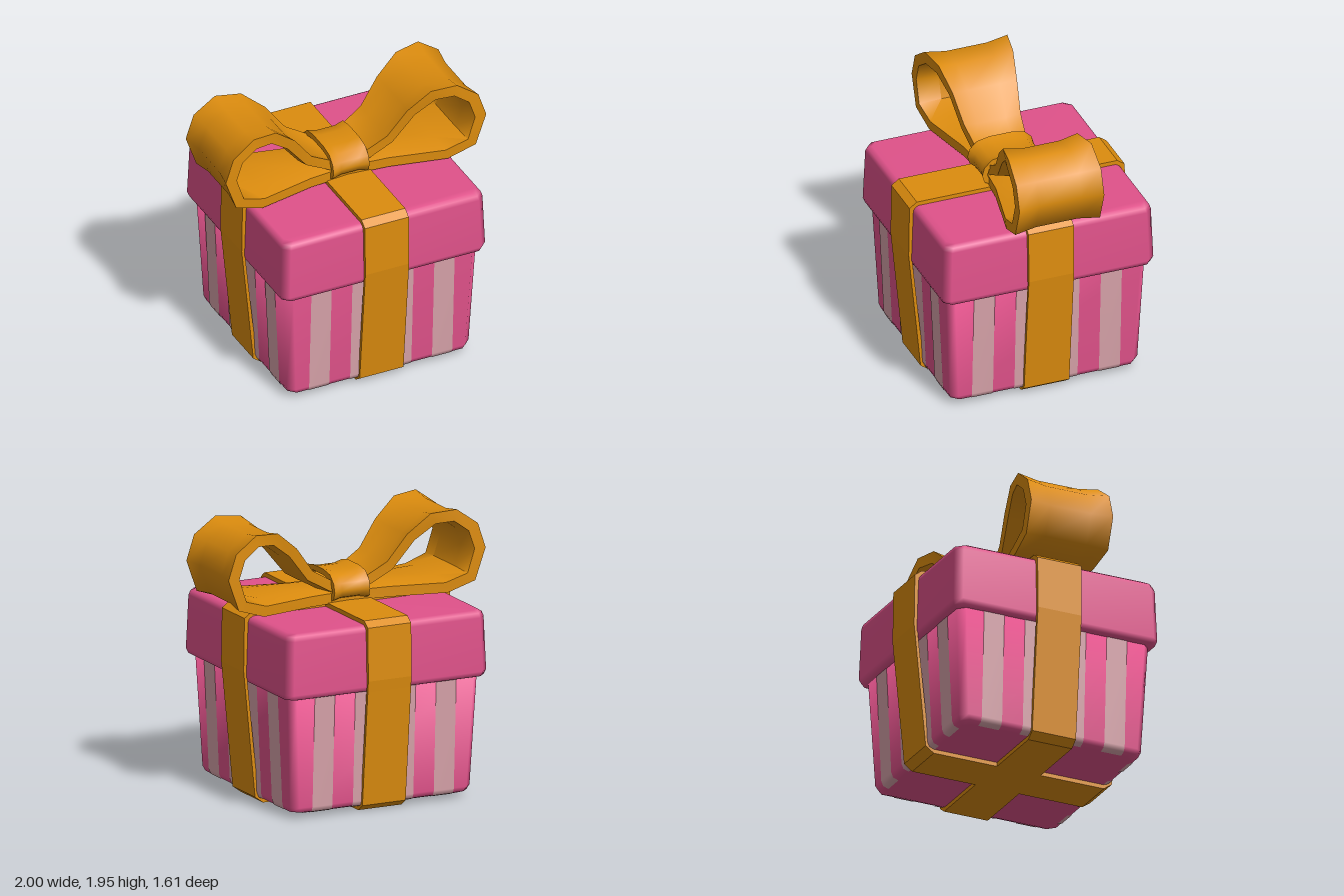
import * as THREE from 'three';
import { toCreasedNormals } from 'three/addons/utils/BufferGeometryUtils.js';

const material = (name, color) => {
  const m = new THREE.MeshStandardMaterial({ color });
  m.name = name;
  return m;
};

// Skin a list of equal-length rings of [x, y, z] points.
function loft(rings, { closed = false, caps = false } = {}) {
  const n = rings[0].length, count = rings.length;
  const pos = rings.flat(2), index = [];
  for (let i = 0; i < (closed ? count : count - 1); i++) {
    const a = i * n, b = ((i + 1) % count) * n;
    for (let j = 0; j < n; j++) {
      const k = (j + 1) % n;
      index.push(a + j, a + k, b + k, a + j, b + k, b + j);
    }
  }
  if (caps) {
    const last = (count - 1) * n;
    for (let j = 1; j < n - 1; j++) {
      index.push(0, j + 1, j, last, last + j, last + j + 1);
    }
  }
  const g = new THREE.BufferGeometry();
  g.setAttribute('position', new THREE.Float32BufferAttribute(pos, 3));
  g.setIndex(index);
  g.computeVertexNormals();
  return g;
}

// Square ring with cut corners.
function squareRing([h, y], cut = 0.05) {
  const k = h - cut;
  return [[h, -k], [h, k], [k, h], [-k, h], [-h, k], [-h, -k], [-k, -h], [k, -h]]
    .map(([x, u]) => [x, y, -u]);
}

// Thick ribbon following a clockwise path; its middle dips towards the inside.
function band(outer, inner, halfWidth, sag, closed, side = 1) {
  const columns = [-1, -0.5, 0.5, 1];
  const rings = outer.map(([ox, oy], i) => {
    const [ix, iy] = inner[i];
    const len = Math.hypot(ix - ox, iy - oy);
    const w = halfWidth(ox);
    const point = (x, y, t) => {
      const s = Math.abs(t) < 1 ? sag / len : 0;
      return [side * (x + (ix - ox) * s), y + (iy - oy) * s, t * w];
    };
    const ring = [
      ...columns.map(t => point(ox, oy, t)),
      ...columns.map(t => point(ix, iy, -t)),
    ];
    return side < 0 ? ring.reverse() : ring;
  });
  return toCreasedNormals(loft(rings, { closed, caps: !closed }), 0.95);
}

// Mirror a half outline (top to bottom on +x) into a full loop.
const mirrorLoop = half => [...half, ...half.map(([x, y]) => [-x, y]).reverse()];

export function createModel() {
  const pink = material('pink card', 0xe0528a);
  const pale = material('pale stripe', 0xd8a3aa);
  const gold = material('gold ribbon', 0xdc8c0e);
  const model = new THREE.Group();
  model.name = 'giftBox';
  const add = (name, geometry, mat, parent = model) => {
    const mesh = new THREE.Mesh(geometry, mat);
    mesh.name = name;
    parent.add(mesh);
    return mesh;
  };

  // Tapered box
  const side = [[0.645, 0.03], [0.685, 0.045], [0.7, 0.08], [0.737, 0.88]];
  add('box', loft(side.map(p => squareRing(p)), { caps: true }), pink);

  // Lid with softened edges
  const lid = [[0.74, 0.865], [0.772, 0.875], [0.785, 0.91], [0.772, 1.29], [0.762, 1.322], [0.735, 1.34]];
  add('lid', loft(lid.map(p => squareRing(p)), { caps: true }), pink);

  // Painted stripes on all four sides
  const stripes = new THREE.Group();
  stripes.name = 'stripes';
  model.add(stripes);
  for (let face = 0; face < 4; face++) {
    for (const x of [-0.472, -0.157, 0.157, 0.472]) {
      const g = new THREE.PlaneGeometry(0.156, 1, 1, side.length - 1);
      const p = g.attributes.position;
      for (let i = 0; i < p.count; i++) {
        const [h, y] = side[side.length - 1 - Math.floor(i / 2)];
        p.setXYZ(i, p.getX(i) + x, y - 0.002, h + 0.004);
      }
      g.computeVertexNormals();
      add('stripe', g, pale, stripes).rotation.y = face * Math.PI / 2;
    }
  }

  // Two ribbons wrapped round the box
  const wrapOuter = [[0.745, 1.37], [0.8, 1.33], [0.806, 0.95], [0.798, 0.87], [0.717, 0.045], [0.655, 0]];
  const wrapInner = [[0.732, 1.338], [0.77, 1.31], [0.782, 0.95], [0.776, 0.87], [0.692, 0.055], [0.643, 0.03]];
  const toPoints = half => mirrorLoop(half).map(([x, y]) => new THREE.Vector2(x, y));
  const wrapShape = new THREE.Shape(toPoints(wrapOuter));
  wrapShape.holes.push(new THREE.Path(toPoints(wrapInner)));
  const wrap = new THREE.ExtrudeGeometry(wrapShape, { depth: 0.336, bevelEnabled: false });
  wrap.translate(0, 0, -0.168);
  add('ribbonAcross', wrap, gold);
  add('ribbonFrontToBack', wrap, gold).rotation.y = Math.PI / 2;

  // Bow loops
  const bowOuter = [[0, 1.49], [0.135, 1.525], [0.29, 1.615], [0.43, 1.8], [0.595, 1.935], [0.78, 1.95],
    [0.94, 1.835], [1, 1.655], [0.92, 1.43], [0.715, 1.362], [0.3, 1.362], [0, 1.362]];
  const bowInner = [[0, 1.41], [0.135, 1.445], [0.33, 1.555], [0.487, 1.75], [0.63, 1.857], [0.76, 1.868],
    [0.87, 1.788], [0.915, 1.655], [0.86, 1.487], [0.695, 1.435], [0.3, 1.435], [0, 1.435]];
  const bowWidth = x => 0.185 + 0.13 * THREE.MathUtils.smoothstep(x, 0.05, 0.9);
  add('leftBowLoop', band(bowOuter, bowInner, bowWidth, 0.025, false, 1), gold);
  add('rightBowLoop', band(bowOuter, bowInner, bowWidth, 0.025, false, -1), gold);

  // Knot band round the middle of the bow
  const knotOuter = [[0.08, 1.58], [0.175, 1.562], [0.23, 1.51], [0.247, 1.45], [0.23, 1.395], [0.17, 1.365]];
  const knotInner = [[0.07, 1.54], [0.155, 1.525], [0.195, 1.49], [0.207, 1.45], [0.195, 1.415], [0.155, 1.395]];
  const knot = band(mirrorLoop(knotOuter), mirrorLoop(knotInner), () => 0.138, 0.018, true);
  add('knot', knot, gold).rotation.y = Math.PI / 2;

  return model;
}
